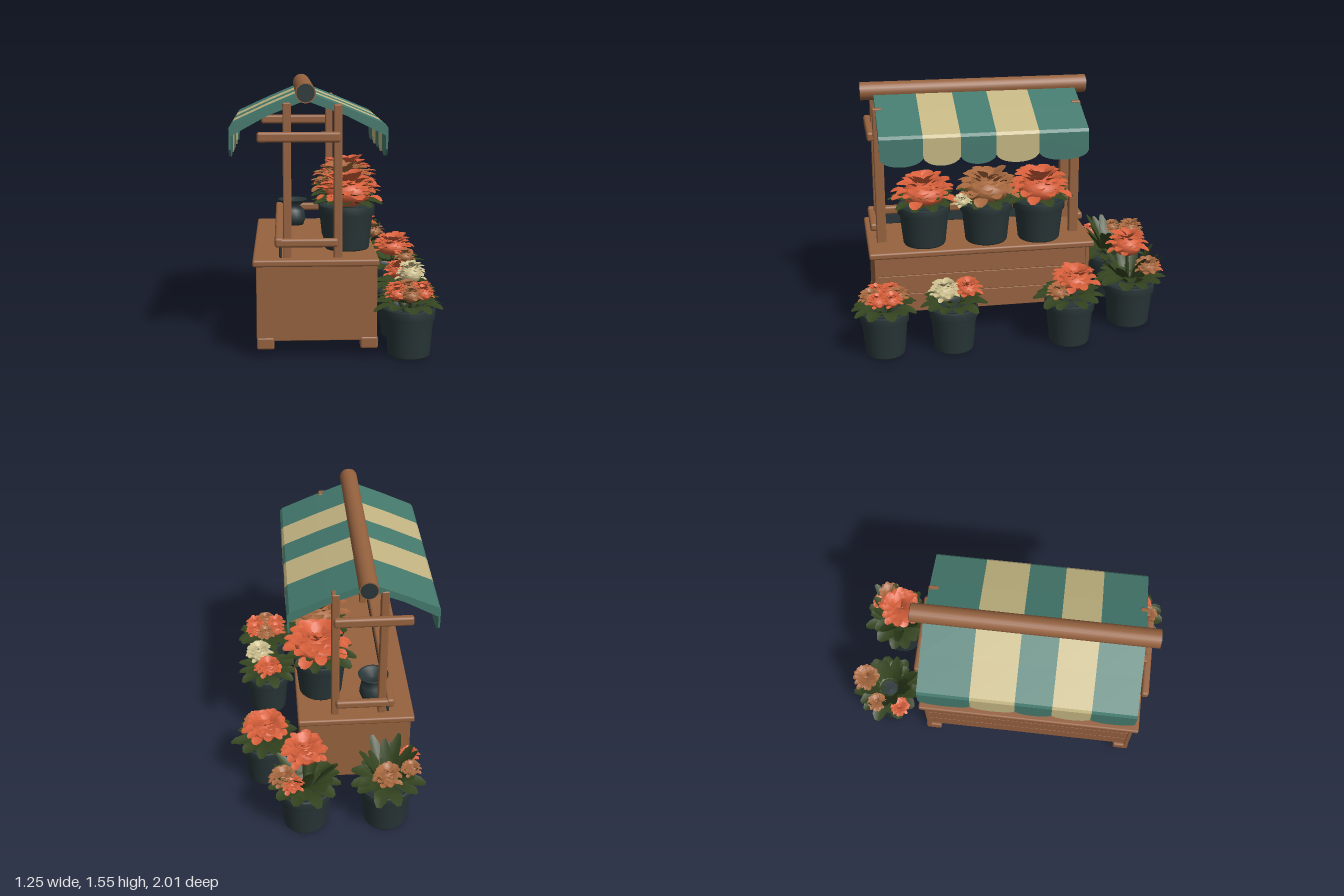
import * as THREE from 'three';
import { mergeGeometries } from 'three/addons/utils/BufferGeometryUtils.js';
import { RoundedBoxGeometry } from 'three/addons/geometries/RoundedBoxGeometry.js';

const paint = (name, color, side = THREE.FrontSide) => {
  const m = new THREE.MeshStandardMaterial({ color, side });
  m.name = name;
  return m;
};
const wood = paint('wood', 0x96623f);
const pot = paint('pot', 0x293638);
const teal = paint('teal cloth', 0x457a6e);
const cream = paint('cream cloth', 0xc4b683);
const leafGreen = paint('leaf green', 0x34441f, THREE.DoubleSide);
const orange = paint('orange petals', 0xd8603b, THREE.DoubleSide);
const bronze = paint('bronze petals', 0xa8693f, THREE.DoubleSide);
const ivory = paint('ivory petals', 0xcdbf8e, THREE.DoubleSide);

let seed = 7;
const rnd = () => (seed = (seed * 16807) % 2147483647) / 2147483647;
const vary = (a, b) => a + (b - a) * rnd();

function add(parent, name, geo, mat, x = 0, y = 0, z = 0) {
  const m = new THREE.Mesh(geo, mat);
  m.name = name;
  m.position.set(x, y, z);
  parent.add(m);
  return m;
}

// Rounded box given by its limits
function box(parent, name, mat, x0, x1, y0, y1, z0, z1, r = 0.008) {
  return add(parent, name, new RoundedBoxGeometry(x1 - x0, y1 - y0, z1 - z0, 2, r), mat,
    (x0 + x1) / 2, (y0 + y1) / 2, (z0 + z1) / 2);
}

// Curved leaf or petal growing from its base, leaning outward by tilt
function blade(length, width, curl, tilt, turn, x, y, z) {
  const g = new THREE.CircleGeometry(0.5, 10);
  const p = g.attributes.position;
  for (let i = 0; i < p.count; i++) {
    const t = p.getY(i) + 0.5, s = p.getX(i);
    p.setXYZ(i, s * width, t * length, curl * length * t * t - s * s * width * 0.6);
  }
  g.computeVertexNormals();
  return g.rotateX(tilt).rotateY(turn).translate(x, y, z);
}

// Domed flower head built of overlapping petals on a flattened core
function flowerHead(parent, mat, x, y, z, r, h, n = 46) {
  const parts = [new THREE.SphereGeometry(1, 14, 8).scale(r * 0.72, h * 0.62, r * 0.72).translate(x, y + h * 0.2, z)];
  for (let i = 0; i < n; i++) {
    const t = (i + 0.5) / n, a = i * 2.39996, d = r * 0.68 * Math.sqrt(t);
    parts.push(blade(r * vary(0.36, 0.52), r * vary(0.36, 0.52), 0.2, 0.75 + t * 0.85 + vary(-0.25, 0.25), a,
      x + Math.sin(a) * d, y + h * (0.72 * (1 - t * t) + 0.08 * rnd()), z + Math.cos(a) * d));
  }
  add(parent, 'flowerHead', mergeGeometries(parts), mat);
}

// Potted plant: pot, leaf collar, stems and listed flower heads [material, x, y, z, radius, height]
function plant(parent, x, y, z, h, r, leafR, heads, tall = 0) {
  const g = new THREE.Group();
  g.name = 'pottedPlant';
  g.position.set(x, y, z);
  parent.add(g);
  const profile = [[0, 0], [r * 0.76, 0], [r * 0.8, 0.01], [r * 0.92, h * 0.76], [r * 0.99, h * 0.78],
    [r, h * 0.97], [r * 0.96, h], [r * 0.88, h], [r * 0.86, h - 0.03], [0, h - 0.02]];
  add(g, 'pot', new THREE.LatheGeometry(profile.map(p => new THREE.Vector2(...p)), 28), pot);
  const leaves = [];
  for (let ring = 0; ring < 2; ring++) {
    for (let i = 0; i < 11; i++) {
      const a = (i + ring * 0.5 + vary(-0.2, 0.2)) * Math.PI * 2 / 11, b = leafR * (0.4 - ring * 0.15);
      leaves.push(blade(leafR * vary(0.54, 0.68), leafR * vary(0.36, 0.48), vary(0.15, 0.5),
        1.25 - ring * 0.25, a, Math.sin(a) * b, h + 0.012 + ring * 0.018, Math.cos(a) * b));
    }
  }
  for (let i = 0; i < tall; i++) {
    const a = i * 2.39996;
    leaves.push(blade(vary(0.2, 0.29), 0.07, 0.15, vary(0.25, 0.7), a, Math.sin(a) * 0.05, h, Math.cos(a) * 0.05));
  }
  for (const [, hx, hy, hz] of heads) {
    const stem = new THREE.LineCurve3(new THREE.Vector3(hx * 0.3, h - 0.03, hz * 0.3), new THREE.Vector3(hx, h + hy, hz));
    leaves.push(new THREE.TubeGeometry(stem, 1, 0.011, 6));
  }
  add(g, 'leaves', mergeGeometries(leaves), leafGreen);
  for (const [mat, hx, hy, hz, hr, hh] of heads) flowerHead(g, mat, hx, h + hy, hz, hr, hh);
}

function buildCounter(parent) {
  const g = new THREE.Group();
  g.name = 'counter';
  parent.add(g);
  box(g, 'counterTop', wood, -0.485, 0.225, 0.53, 0.57, -0.53, 0.88, 0.012);
  // End panels and planked long sides around an open underside
  for (const z of [-0.5, 0.825]) box(g, 'endPanel', wood, -0.465, 0.215, 0.1, 0.535, z, z + 0.025, 0.004);
  for (const x of [-0.46, 0.19]) {
    box(g, 'sideLining', wood, x + 0.004, x + 0.016, 0.175, 0.535, -0.48, 0.83, 0.002);
    for (let i = 0; i < 3; i++) {
      box(g, 'sidePlank', wood, x, x + 0.02, 0.17 + i * 0.122, 0.289 + i * 0.122, -0.48, 0.83, 0.003);
    }
  }
  for (const x of [-0.465, 0.12]) {
    for (const z of [-0.51, 0.755]) box(g, 'foot', wood, x, x + 0.1, 0.05, 0.12, z, z + 0.1, 0.012);
  }
}

function buildFrame(parent) {
  const g = new THREE.Group();
  g.name = 'frame';
  parent.add(g);
  for (const [z, out] of [[0.79, 0.835], [-0.44, -0.483]]) {
    box(g, 'backPost', wood, -0.312, -0.265, 0.56, 1.44, z - 0.03, z + 0.03);
    box(g, 'frontPost', wood, -0.028, 0.02, 0.56, 1.43, z - 0.03, z + 0.03);
    box(g, 'upperCrossbar', wood, -0.455, 0.01, 1.222, 1.28, out - 0.022, out + 0.022, 0.015);
    box(g, 'lowerCrossbar', wood, -0.355, -0.005, 0.635, 0.685, out - 0.022, out + 0.022, 0.015);
  }
  box(g, 'backRail', wood, -0.36, -0.312, 0.635, 0.69, -0.505, 0.857, 0.015);
  box(g, 'backBoard', pot, -0.335, -0.32, 0.57, 0.645, -0.46, 0.81, 0.004);
  // Round ridge pole with dark cut ends
  add(g, 'ridgePole', new THREE.CylinderGeometry(0.056, 0.056, 1.42, 24).rotateX(Math.PI / 2), wood, -0.185, 1.495, 0.17);
  for (const z of [-0.54, 0.88]) {
    add(g, 'poleEnd', new THREE.CylinderGeometry(0.05, 0.05, 0.008, 24).rotateX(Math.PI / 2), pot, -0.185, 1.495, z);
  }
}

function buildAwning(parent) {
  const g = new THREE.Group();
  g.name = 'awning';
  parent.add(g);
  const edges = [-0.465, -0.16, 0.1, 0.315, 0.54, 0.8];
  for (let i = 0; i < 5; i++) {
    const z0 = edges[i], z1 = edges[i + 1], mat = i % 2 ? cream : teal;
    for (const w of [0.46, -0.425]) {
      // Sloping roof stripe
      const roof = new THREE.Shape([[0, 1.5], [0.5, 1.41], [0.97, 1.318], [1, 1.3], [1, 1.25], [0.95, 1.26], [0.5, 1.365], [0, 1.45]]
        .map(([x, y]) => new THREE.Vector2(x * w, y)));
      add(g, 'roofStripe', new THREE.ExtrudeGeometry(roof, { depth: z1 - z0, bevelEnabled: false }), mat, -0.185, 0, z0);
      // Scalloped hanging flap
      const flap = new THREE.Shape();
      flap.moveTo(z0, 1.28);
      flap.lineTo(z1, 1.28);
      flap.lineTo(z1, 1.18);
      flap.bezierCurveTo(z1 - 0.03, 1.113, z0 + 0.03, 1.113, z0, 1.18);
      const flapGeo = new THREE.ExtrudeGeometry(flap, { depth: 0.012, bevelEnabled: false, curveSegments: 14 });
      add(g, 'flap', flapGeo.rotateY(-Math.PI / 2), mat, -0.185 + w + (w > 0 ? 0 : 0.012));
    }
  }
}

export function createModel() {
  const root = new THREE.Group();
  root.name = 'flowerStall';
  buildCounter(root);
  buildFrame(root);
  buildAwning(root);

  // Flared bowl at the back of the counter
  const bowl = [[0, 0], [0.07, 0], [0.085, 0.04], [0.075, 0.1], [0.045, 0.125], [0.09, 0.16], [0.095, 0.17], [0.08, 0.165], [0.03, 0.13], [0, 0.13]];
  add(root, 'bowl', new THREE.LatheGeometry(bowl.map(p => new THREE.Vector2(...p)), 24), pot, -0.25, 0.57, -0.3);

  // Plants on the counter
  plant(root, 0.06, 0.57, 0.525, 0.26, 0.165, 0.21, [[orange, 0.01, 0.04, 0, 0.185, 0.13]]);
  plant(root, 0.06, 0.57, 0.135, 0.26, 0.165, 0.21,
    [[bronze, 0, 0.04, -0.01, 0.19, 0.14], [ivory, 0.08, 0.01, 0.16, 0.06, 0.05]]);
  plant(root, 0.07, 0.57, -0.2, 0.26, 0.165, 0.21, [[orange, 0.02, 0.04, 0, 0.19, 0.14]]);

  // Plants along the front
  const circle = [0, 1, 2, 3, 4, 5].map(i =>
    [i % 3 ? orange : bronze, Math.sin(i * 1.047) * 0.085, 0.07, Math.cos(i * 1.047) * 0.085, 0.065, 0.06]);
  plant(root, 0.4, 0, 0.81, 0.28, 0.15, 0.2, circle);
  plant(root, 0.4, 0, 0.39, 0.28, 0.15, 0.2,
    [[ivory, 0.05, 0.09, 0.06, 0.09, 0.09], [orange, -0.01, 0.08, -0.09, 0.09, 0.07]]);
  plant(root, 0.42, 0, -0.33, 0.28, 0.155, 0.21,
    [[orange, 0, 0.1, -0.03, 0.14, 0.09], [bronze, 0.07, 0.06, 0.09, 0.07, 0.06]]);

  // Taller plants at the far end
  plant(root, 0.2, 0, -0.77, 0.28, 0.165, 0.22,
    [[orange, 0, 0.22, 0.02, 0.13, 0.11], [bronze, 0.13, 0.12, -0.08, 0.08, 0.07], [orange, 0.08, 0.1, -0.12, 0.07, 0.06]], 10);
  plant(root, -0.29, 0, -0.77, 0.28, 0.165, 0.22,
    [[bronze, 0.01, 0.14, -0.14, 0.085, 0.09], [orange, -0.15, 0.1, 0.1, 0.06, 0.06], [bronze, -0.14, 0.12, -0.05, 0.06, 0.06]], 14);
  return root;
}
